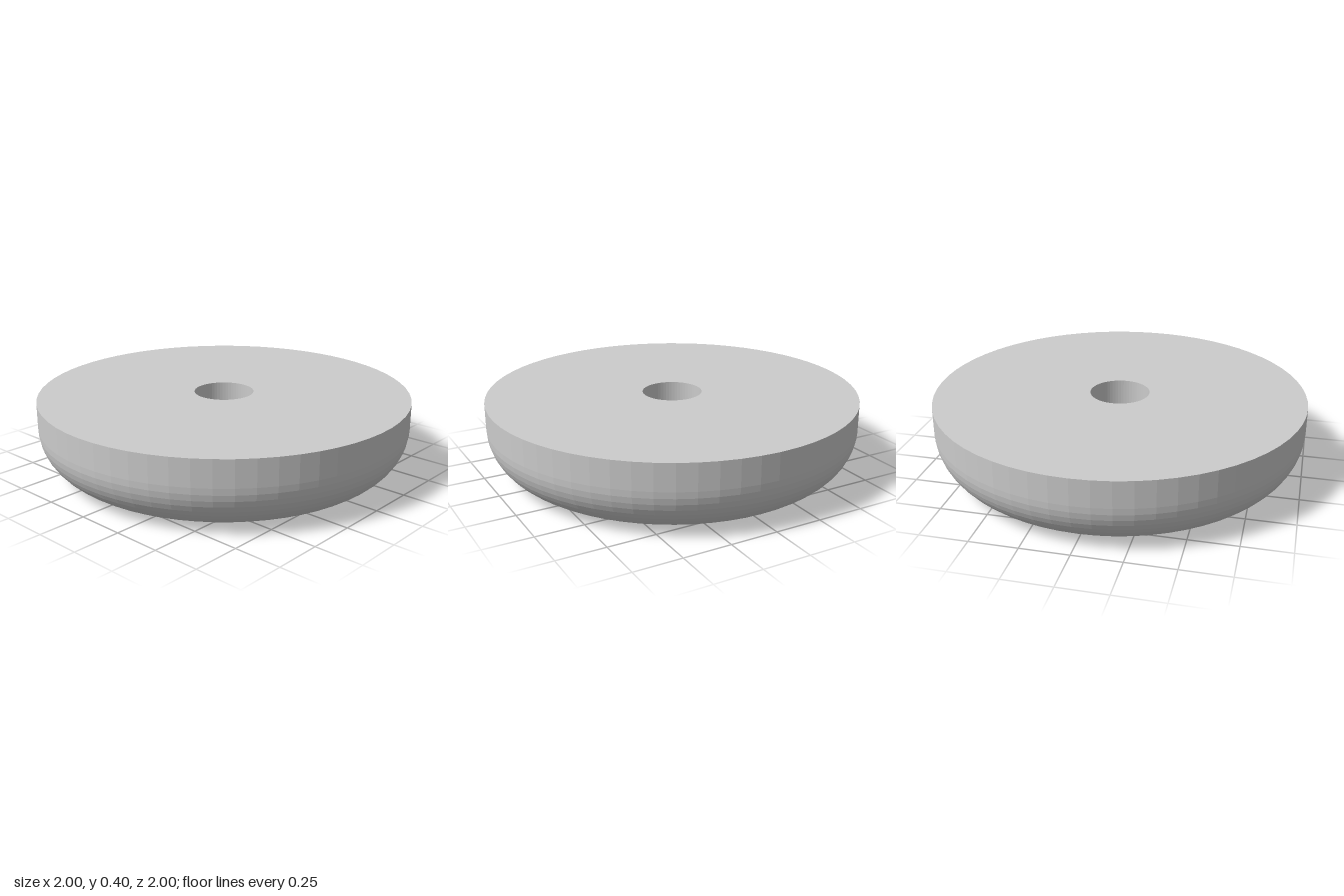
import * as THREE from 'three';

const SEGMENTS = 64;
const HEIGHT = 0.4, RADIUS = 1, FILLET = 0.26;
const BORE = 0.16, COUNTERBORE = 0.28, COUNTERBORE_DEPTH = 0.18;

export function createModel() {
  const group = new THREE.Group();
  group.name = 'roundFoot';

  // Closed cross-section: recess, rounded lower edge, straight rim, flat top, through hole
  const profile = [
    new THREE.Vector2(BORE, COUNTERBORE_DEPTH),
    new THREE.Vector2(COUNTERBORE, COUNTERBORE_DEPTH),
    new THREE.Vector2(COUNTERBORE, 0),
  ];
  const steps = 12;
  for (let i = 0; i <= steps; i++) {
    const a = (i / steps) * Math.PI / 2;
    profile.push(new THREE.Vector2(
      RADIUS - FILLET + FILLET * Math.sin(a),
      FILLET - FILLET * Math.cos(a),
    ));
  }
  profile.push(
    new THREE.Vector2(RADIUS, HEIGHT),
    new THREE.Vector2(BORE, HEIGHT),
    new THREE.Vector2(BORE, COUNTERBORE_DEPTH),
  );

  // Disc with a stepped screw hole
  const disc = new THREE.Mesh(
    new THREE.LatheGeometry(profile, SEGMENTS),
    new THREE.MeshStandardMaterial({ color: 0xcccccc, flatShading: true }),
  );
  disc.name = 'disc';
  group.add(disc);
  return group;
}
